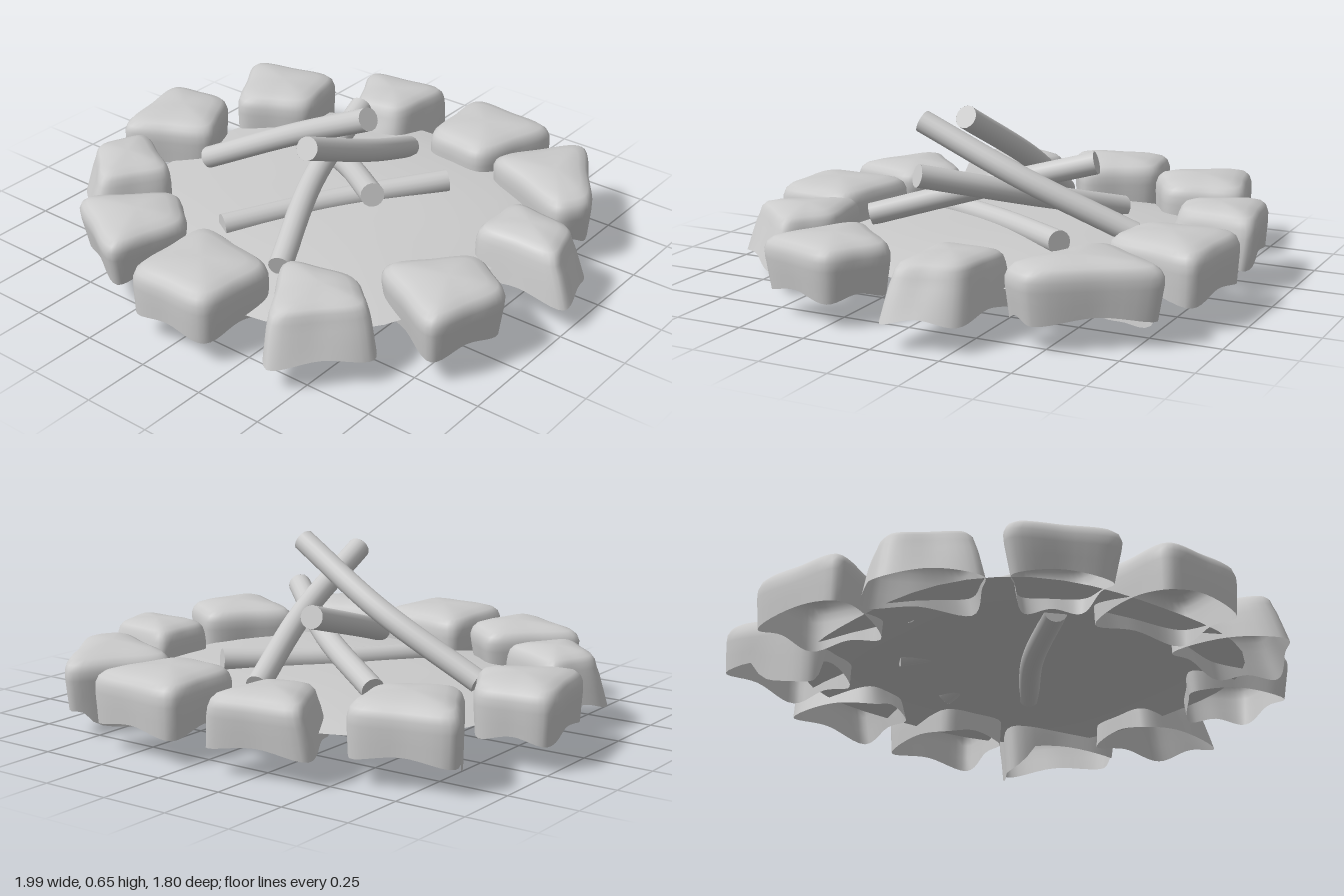
import * as THREE from 'three';

const material = new THREE.MeshStandardMaterial({ color: 0xcccccc, side: THREE.DoubleSide });

// Smooth surface through closed rings of points, closed by a single top point.
function loft(rings, tip) {
  const n = rings[0].length;
  const points = [...rings.flat(), tip];
  const index = [];
  for (let j = 0; j < rings.length; j++) {
    for (let i = 0; i < n; i++) {
      const a = j * n + i, b = j * n + (i + 1) % n;
      if (j === rings.length - 1) index.push(a, points.length - 1, b);
      else index.push(a, a + n, b, b, a + n, b + n);
    }
  }
  const geometry = new THREE.BufferGeometry().setFromPoints(points);
  geometry.setIndex(index);
  geometry.computeVertexNormals();
  return geometry;
}

function addMesh(parent, name, geometry) {
  const mesh = new THREE.Mesh(geometry, material);
  mesh.name = name;
  parent.add(mesh);
  return mesh;
}

// Thin domed ground patch with a squarish round outline, a little higher at the back left.
function groundGeometry() {
  const rings = [1, 0.9, 0.8, 0.6, 0.4, 0.2].map((s) => {
    const ring = [];
    for (let i = 0; i < 48; i++) {
      const t = -(i / 48) * Math.PI * 2, c = Math.cos(t), d = Math.sin(t);
      const k = s / Math.pow(Math.abs(c) ** 2.8 + Math.abs(d) ** 2.8, 1 / 2.8);
      const x = 0.72 * k * c, z = 0.715 * k * d;
      ring.push(new THREE.Vector3(x - 0.02, 0.19 - 0.055 * s ** 3 + 0.02 * (x - z), z));
    }
    return ring.reverse();
  });
  return loft(rings, new THREE.Vector3(-0.02, 0.19, 0));
}

// Hollow stone, open below: corners c run clockwise from above, foot and top
// scale the rim and the upper face, shift slides the upper face sideways, and
// low is the place on the outline where the rim hangs down to the floor.
function stoneGeometry({ c, foot = 0.93, top = 1, shift = [0, 0], low, width = 0.5 }) {
  const corners = c.map(([x, z]) => new THREE.Vector3(x, 0, z));
  const centre = corners.reduce((s, p) => s.add(p), new THREE.Vector3()).multiplyScalar(0.25);
  const control = [];
  corners.forEach((p, i) => {
    const mid = p.clone().lerp(corners[(i + 1) % 4], 0.5);
    control.push(p, mid.sub(centre).multiplyScalar(1.09).add(centre));
  });
  const curve = new THREE.CatmullRomCurve3(control, true, 'centripetal');
  const slide = new THREE.Vector3(shift[0], 0, shift[1]);
  const n = 48;
  // height and extra rounding of each ring
  const levels = [[0.1, 1], [0.15, 1], [0.2, 1], [0.23, 0.985], [0.254, 0.94], [0.27, 0.85], [0.282, 0.65], [0.289, 0.35]];
  const rings = levels.map(([y, round], j) => {
    const t = Math.min(1, (y - 0.1) / 0.13);
    const scale = THREE.MathUtils.lerp(foot, top, t) * round;
    const ring = [];
    for (let i = 0; i < n; i++) {
      const p = curve.getPoint(i / n).sub(centre).multiplyScalar(scale).add(centre);
      p.addScaledVector(slide, t).setY(y);
      if (j < 2) {
        // corners droop a little
        const weight = j === 0 ? 1 : 0.4;
        p.y -= 0.012 * weight * Math.cos((i / n) * Math.PI * 8);
        if (low !== undefined) {
          const gap = Math.abs(((i / n) * 4 - low + 6) % 4 - 2);
          p.y -= 0.09 * weight * Math.max(0, 1 - (gap / width) ** 4);
        }
      }
      p.y = Math.max(p.y, 0);
      ring.push(p);
    }
    return ring;
  });
  return loft(rings, centre.clone().add(slide).setY(0.292));
}

const stones = [
  { c: [[-0.88, -0.61], [-0.53, -0.70], [-0.46, -0.43], [-0.70, -0.30]], foot: 0.97, low: 3.25, width: 0.42 },
  { c: [[-0.46, -0.81], [-0.09, -0.87], [-0.12, -0.56], [-0.31, -0.51]], foot: 1, top: 0.9, shift: [0, -0.03] },
  { c: [[0.04, -0.89], [0.41, -0.86], [0.31, -0.52], [0.06, -0.55]], foot: 0.96 },
  { c: [[0.57, -0.83], [0.82, -0.47], [0.75, -0.35], [0.36, -0.53]], foot: 0.92, low: 3.3, width: 0.55 },
  { c: [[0.62, -0.31], [0.92, -0.27], [0.99, -0.03], [0.62, -0.03]], foot: 1, top: 0.87, shift: [-0.03, 0] },
  { c: [[0.71, 0.09], [0.91, 0.22], [0.82, 0.52], [0.49, 0.34]], foot: 0.9 },
  { c: [[0.21, 0.53], [0.50, 0.46], [0.66, 0.60], [0.42, 0.86]], foot: 1, top: 0.9, shift: [-0.02, -0.02] },
  { c: [[-0.15, 0.52], [0.20, 0.58], [0.17, 0.88], [-0.15, 0.88]], foot: 0.97 },
  { c: [[-0.38, 0.41], [-0.21, 0.55], [-0.30, 0.83], [-0.63, 0.65]], foot: 0.85 },
  { c: [[-0.81, 0.14], [-0.50, 0.32], [-0.66, 0.57], [-0.90, 0.35]], foot: 1, top: 0.87, shift: [0.01, -0.02] },
  { c: [[-0.99, -0.23], [-0.74, -0.27], [-0.61, -0.02], [-0.91, 0.14]], foot: 0.95 },
];

// Three path points per log.
const logs = [
  [[-0.56, 0.19, 0.04], [-0.17, 0.4, 0.005], [0.22, 0.61, 0.065]],
  [[0.0, 0.2, -0.49], [0.1, 0.38, -0.1], [0.13, 0.56, 0.29]],
  [[-0.19, 0.18, 0.38], [0.03, 0.195, 0.0], [0.29, 0.22, -0.33]],
  [[0.17, 0.2, 0.49], [0.0, 0.31, 0.1], [-0.09, 0.42, -0.3]],
  [[-0.35, 0.2, -0.3], [0.0, 0.3, -0.09], [0.34, 0.41, 0.195]],
];

// Bent round log with flat sawn ends.
function createLog(points) {
  const log = new THREE.Group();
  log.name = 'log';
  const radius = 0.042;
  const curve = new THREE.CatmullRomCurve3(points.map((p) => new THREE.Vector3(...p)));
  addMesh(log, 'logBark', new THREE.TubeGeometry(curve, 16, radius, 16));
  for (const t of [0, 1]) {
    const end = addMesh(log, 'logEnd', new THREE.CircleGeometry(radius, 16));
    end.position.copy(curve.getPoint(t));
    end.lookAt(curve.getTangent(t).multiplyScalar(t ? 1 : -1).add(end.position));
  }
  return log;
}

export function createModel() {
  const model = new THREE.Group();
  model.name = 'campfire';
  addMesh(model, 'ground', groundGeometry());

  const ring = new THREE.Group();
  ring.name = 'stoneRing';
  stones.forEach((stone) => addMesh(ring, 'stone', stoneGeometry(stone)));
  model.add(ring);

  const pile = new THREE.Group();
  pile.name = 'logPile';
  logs.forEach((points) => pile.add(createLog(points)));
  model.add(pile);
  return model;
}
